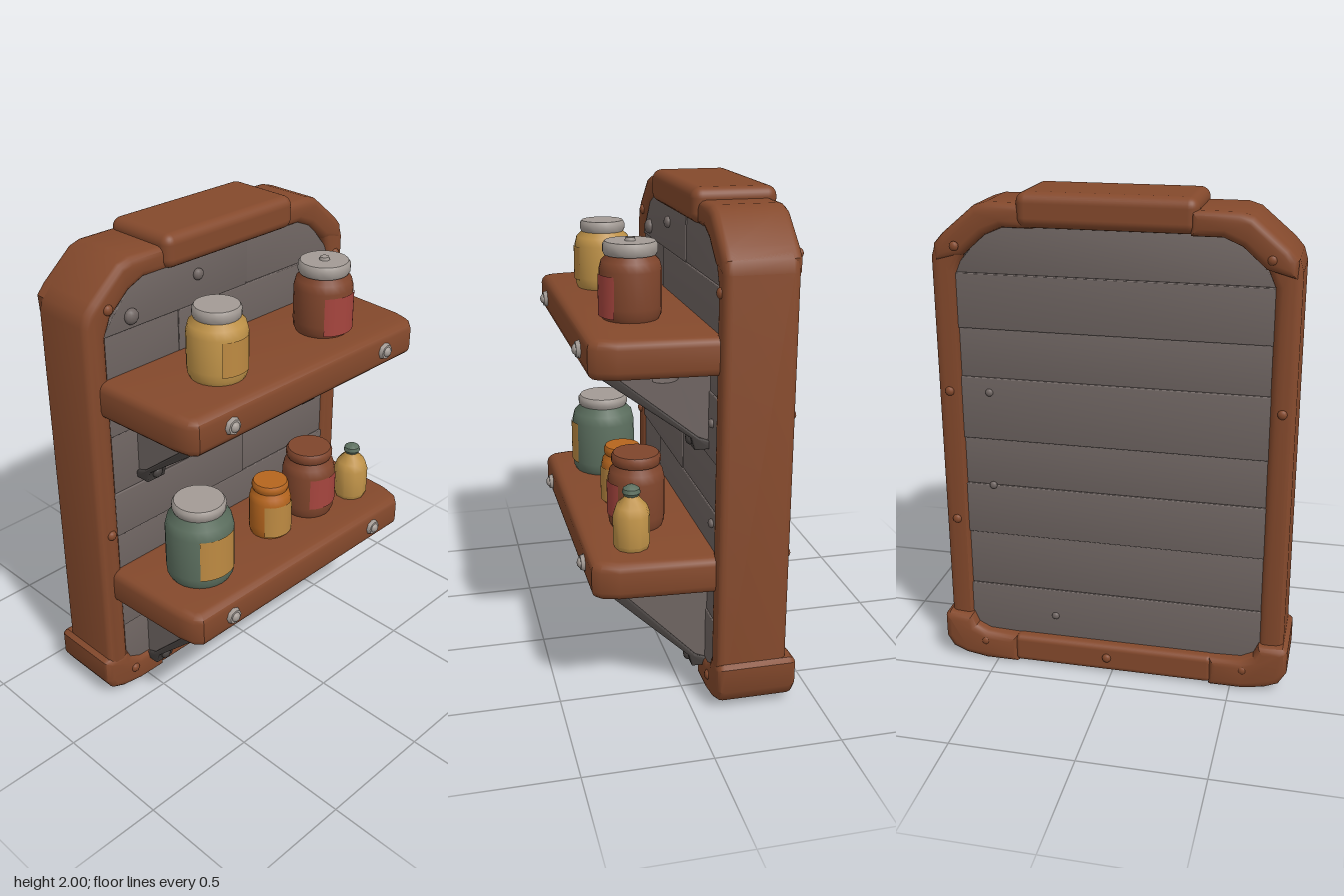
import * as THREE from 'three';
import { toCreasedNormals } from 'three/addons/utils/BufferGeometryUtils.js';
import { RoundedBoxGeometry } from 'three/addons/geometries/RoundedBoxGeometry.js';

const paint = (name, color) => {
  const m = new THREE.MeshStandardMaterial({ color });
  m.name = name;
  return m;
};

export function createModel() {
  const wood = paint('wood', 0x84492c);
  const board = paint('greyBoard', 0x6f6562);
  const iron = paint('darkIron', 0x45403e);
  const metal = paint('paleMetal', 0xa39b95);
  const tan = paint('tan', 0xc19449);
  const ochre = paint('ochreLabel', 0xbd8a42);
  const green = paint('greenGlass', 0x5c6f5f);
  const orange = paint('orangeGlass', 0xb5651e);
  const red = paint('redLabel', 0xa6453e);
  const brown = paint('brownGlass', 0x7f452c);

  const model = new THREE.Group();
  model.name = 'shelfUnit';

  const add = (name, geo, mat, x = 0, y = 0, z = 0, parent = model) => {
    const m = new THREE.Mesh(geo, mat);
    m.name = name;
    m.position.set(x, y, z);
    parent.add(m);
    return m;
  };

  // Bevelled slab: outline in x/y, running from z = 0 to z = depth
  const slab = (pts, depth, bevel, hole) => {
    const shape = new THREE.Shape(pts.map(([x, y]) => new THREE.Vector2(x, y)));
    if (hole) shape.holes.push(hole);
    const g = new THREE.ExtrudeGeometry(shape, {
      depth: depth - 2 * bevel, bevelEnabled: bevel > 0, bevelThickness: bevel,
      bevelSize: bevel, bevelOffset: -bevel, bevelSegments: 3, curveSegments: 10,
    });
    g.translate(0, 0, bevel);
    return toCreasedNormals(g, 0.65);
  };
  const mirrored = (pts, s) => pts.map(([x, y]) => [x * s, y]);

  // Frame: posts with bent shoulders, and feet wrapped around the lower corners
  const post = [
    [0.71, 0.1], [0.71, 1.74], [0.695, 1.79], [0.66, 1.83], [0.53, 1.94], [0.48, 1.955],
    [0.3, 1.955], [0.3, 1.86], [0.42, 1.86], [0.49, 1.83], [0.58, 1.75], [0.61, 1.68], [0.61, 0.1],
  ];
  const foot = [
    [0.73, 0.19], [0.73, 0.09], [0.7, 0.04], [0.64, 0.015], [0.55, 0], [0.41, 0],
    [0.41, 0.125], [0.54, 0.13], [0.59, 0.155], [0.61, 0.2], [0.71, 0.205],
  ];
  for (const s of [-1, 1]) {
    add('framePost', slab(mirrored(post, s), 0.285, 0.03), wood, 0, 0, -0.375);
    add('frameFoot', slab(mirrored(foot, s), 0.325, 0.03), wood, 0, 0, -0.413);
    // Thicker shoulder block
    const shoulder = post.slice(2, 11).concat([[0.69, 1.72]]);
    add('frameShoulder', slab(mirrored(shoulder, s), s < 0 ? 0.312 : 0.298, 0.03), wood, 0, 0, s < 0 ? -0.405 : -0.385);
  }
  add('topRail', new RoundedBoxGeometry(0.69, 0.135, 0.335, 4, 0.04), wood, 0.015, 1.932, -0.232);
  add('bottomRail', new RoundedBoxGeometry(0.85, 0.122, 0.305, 3, 0.025), wood, 0, 0.066, -0.25);

  // Backboard: solid core covered front and back by staggered planks
  add('boardCore', slab([[-0.65, 0.08], [0.65, 0.08], [0.65, 1.7], [0.45, 1.9], [-0.45, 1.9], [-0.65, 1.7]], 0.22, 0),
    board, 0, 0, -0.34);
  const rows = [0.08, 0.34, 0.58, 0.8, 1.0, 1.26, 1.46, 1.68, 1.9];
  const splits = [-0.12, 0.28, -0.3, 0.1, -0.14, 0.22, -0.25, 0.12];
  const halfWidth = (y) => (y > 1.66 ? 0.65 - (y - 1.66) * 0.85 : 0.65);
  splits.forEach((split, i) => {
    const y0 = rows[i], y1 = rows[i + 1], a = halfWidth(y0), b = halfWidth(y1);
    const front = i % 2 ? 0.022 : 0.017;
    add('frontPlank', slab([[-a, y0], [split, y0], [split, y1], [-b, y1]], front, 0.004), board, 0, 0, -0.122);
    add('frontPlank', slab([[split, y0], [a, y0], [b, y1], [split, y1]], 0.039 - front, 0.004), board, 0, 0, -0.122);
  });
  for (let i = 0; i < 8; i += 1) {
    const y0 = rows[i], y1 = rows[i + 1], a = halfWidth(y0), b = halfWidth(y1);
    const d = i % 2 ? 0.018 : 0.024;
    add('backPlank', slab([[-a, y0], [a, y0], [b, y1], [-b, y1]], d, 0.004), board, 0, 0, -0.336 - d);
  }

  // Rivets
  const rivet = (x, y, z, r, mat) => {
    const m = add('rivet', new THREE.SphereGeometry(r, 12, 8), mat, x, y, z);
    m.scale.z = 0.7;
  };
  [[-0.49, 1.73, 0.032], [-0.15, 1.8, 0.024], [-0.285, 0.2, 0.026], [0.36, 0.2, 0.026], [0.55, 1.15, 0.018], [0.57, 0.75, 0.018]]
    .forEach(([x, y, r]) => rivet(x, y, -0.095, r, board));
  [[-0.6, 1.79], [-0.655, 0.83], [-0.58, 0.09], [-0.08, 0.09], [0.58, 0.09], [0.655, 1.67]]
    .forEach(([x, y]) => rivet(x, y, -0.09, 0.021, wood));
  [[-0.6, 1.79], [0.6, 1.79], [0.66, 1.2], [-0.66, 1.2], [0.66, 0.64]]
    .forEach(([x, y]) => rivet(x, y, y > 1.7 ? -0.4 : -0.375, 0.019, wood));
  [[-0.55, 0.09], [0.02, 0.07], [0.55, 0.09]].forEach(([x, y]) => rivet(x, y, -0.405, 0.019, wood));
  [[0.5, 1.2], [0.5, 0.8], [0.25, 0.22]].forEach(([x, y]) => rivet(x, y, -0.36, 0.016, board));

  // Shelves with bolts and brackets
  const plan = [[-0.665, 0.12], [-0.645, -0.28], [-0.63, -0.35], [-0.6, -0.38], [0.6, -0.38], [0.63, -0.35], [0.65, -0.28], [0.67, 0.12]];
  const shelf = (bottom, low, slot) => {
    const g = slab(plan, 0.152, 0.035);
    g.rotateX(-Math.PI / 2);
    add('shelf', g, wood, 0, bottom, 0);
    for (const x of [-0.44, 0.43]) {
      const washer = add('boltWasher', new THREE.CylinderGeometry(0.03, 0.038, 0.022, 8), metal, x, bottom + 0.075, 0.385);
      washer.rotation.x = Math.PI / 2;
      rivet(x, bottom + 0.075, 0.395, 0.021, metal);
    }
    const top = bottom + 0.02;
    for (const x of [-0.45, 0.46]) {
      let hole;
      if (slot) {
        hole = new THREE.Path();
        hole.absellipse(0.07, bottom - 0.045, 0.05, 0.014, 0, Math.PI * 2);
      }
      const web = slab([[-0.11, top], [0.29, top], [0.29, bottom - 0.01], [-0.05, low + 0.03], [-0.11, low + 0.03]], 0.07, 0, hole);
      const strap = slab([[0.31, top], [0.31, bottom - 0.03], [-0.03, low + 0.05], [-0.045, low], [-0.11, low],
        [-0.11, low + 0.03], [-0.06, low + 0.05], [0.27, bottom - 0.015], [0.27, top]], 0.094, 0.006);
      web.rotateY(-Math.PI / 2);
      strap.rotateY(-Math.PI / 2);
      add('bracketWeb', web, board, x + 0.035, 0, 0);
      add('bracketStrap', strap, iron, x + 0.047, 0, 0);
      rivet(x, low + 0.035, -0.035, 0.024, iron);
    }
  };
  shelf(1.362, 1.03, true);
  shelf(0.495, 0.09, false);

  // Jars: lathed body, rimmed lid and a curved label
  const lathe = (pts) => toCreasedNormals(
    new THREE.LatheGeometry(pts.map(([x, y]) => new THREE.Vector2(x, y)), 24), 0.7);
  const jar = (name, x, y, z, r, h, mat, lid, label) => {
    const g = new THREE.Group();
    g.name = name;
    g.position.set(x, y, z);
    model.add(g);
    add('jarBody', lathe([[0, 0], [r * 0.9, 0], [r * 0.98, 0.02], [r, 0.05], [r, h * 0.74], [r * 0.93, h * 0.87],
      [r * 0.76, h * 0.95], [r * 0.74, h], [0, h]]), mat, 0, 0, 0, g);
    const R = lid.r, t = lid.t;
    add('jarLid', lathe([[0, -0.005], [R * 0.95, -0.005], [R, 0.006], [R, t - 0.012], [R * 0.92, t], [0, t]]),
      lid.mat, 0, h - 0.005, 0, g);
    if (lid.knob) add('lidKnob', new THREE.CylinderGeometry(0.018, 0.022, 0.014, 12), lid.mat, 0, h + t, 0, g);
    const [a0, a1, y0, y1, lm] = label;
    add('jarLabel', new THREE.CylinderGeometry(r + 0.004, r + 0.004, y1 - y0, 14, 1, true, a0, a1 - a0),
      lm, 0, (y0 + y1) / 2, 0, g);
  };
  const upper = 1.512, lower = 0.645;
  jar('tanJar', -0.293, upper, 0.155, 0.118, 0.25, tan, { r: 0.094, t: 0.04, mat: metal }, [-0.62, 0.48, 0.04, 0.18, ochre]);
  jar('brownJar', 0.295, upper, 0.158, 0.12, 0.255, brown, { r: 0.105, t: 0.045, mat: metal, knob: true }, [-0.8, 0.85, 0.015, 0.175, red]);
  jar('greenJar', -0.395, lower, 0.145, 0.14, 0.315, green, { r: 0.11, t: 0.04, mat: metal }, [-0.75, 0.48, 0.05, 0.235, ochre]);
  jar('orangeJar', 0.02, lower, 0.14, 0.09, 0.225, orange, { r: 0.078, t: 0.032, mat: orange }, [-1.05, 0.73, 0.015, 0.165, ochre]);
  jar('smallBrownJar', 0.27, lower, 0.135, 0.115, 0.275, brown, { r: 0.1, t: 0.04, mat: brown }, [-0.77, 0.71, 0.055, 0.2, red]);

  // Small bottle with a stopper
  const bottle = new THREE.LatheGeometry(
    [[0, 0], [0.066, 0], [0.074, 0.02], [0.074, 0.14], [0.062, 0.175], [0.034, 0.205], [0.026, 0.225], [0, 0.225]]
      .map(([x, y]) => new THREE.Vector2(x, y)), 10);
  add('bottleBody', toCreasedNormals(bottle, 0.7), tan, 0.485, lower, 0.2);
  add('bottleStopper', lathe([[0, 0], [0.028, 0], [0.036, 0.014], [0.032, 0.03], [0.015, 0.042], [0, 0.043]]),
    green, 0.485, lower + 0.215, 0.2);

  return model;
}
